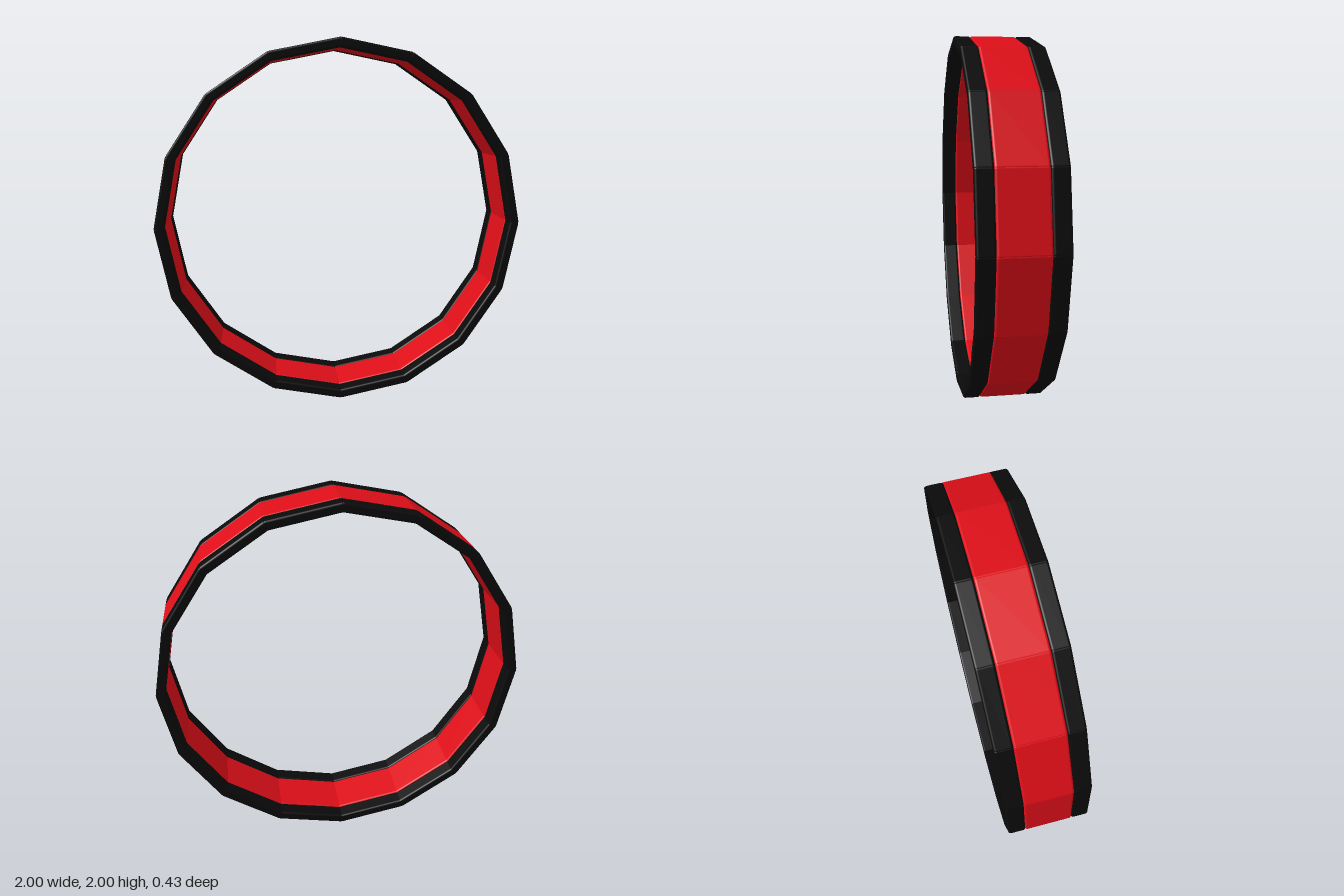
import * as THREE from 'three';
import { RoundedBoxGeometry } from 'three/addons/geometries/RoundedBoxGeometry.js';

const SIDES = 16;
const MID_RADIUS = 0.956; // centre of the ring to the middle of a link
const LENGTH = 0.4;       // slightly overlapping at the joints
const THICKNESS = 0.05;

export function createModel() {
  const ring = new THREE.Group();
  ring.name = 'segmentedRing';

  const red = new THREE.MeshStandardMaterial({ color: 0xdd0e18 });
  const black = new THREE.MeshStandardMaterial({ color: 0x0a0a0a });
  const panelShape = new RoundedBoxGeometry(LENGTH, THICKNESS, 0.25, 3, 0.012);
  const rimShape = new RoundedBoxGeometry(LENGTH, THICKNESS, 0.09, 3, 0.012);

  const addPart = (link, name, geometry, material, z) => {
    const mesh = new THREE.Mesh(geometry, material);
    mesh.name = name;
    mesh.position.set(0, MID_RADIUS, z);
    link.add(mesh);
  };

  // Each link: a red panel between a front and a back black rim bar
  for (let i = 0; i < SIDES; i++) {
    const link = new THREE.Group();
    link.name = `link${i + 1}`;
    addPart(link, 'panel', panelShape, red, 0);
    addPart(link, 'frontRim', rimShape, black, 0.17);
    addPart(link, 'backRim', rimShape, black, -0.17);
    link.rotation.z = ((i + 0.5) / SIDES) * Math.PI * 2;
    link.position.y = 1;
    ring.add(link);
  }
  return ring;
}
